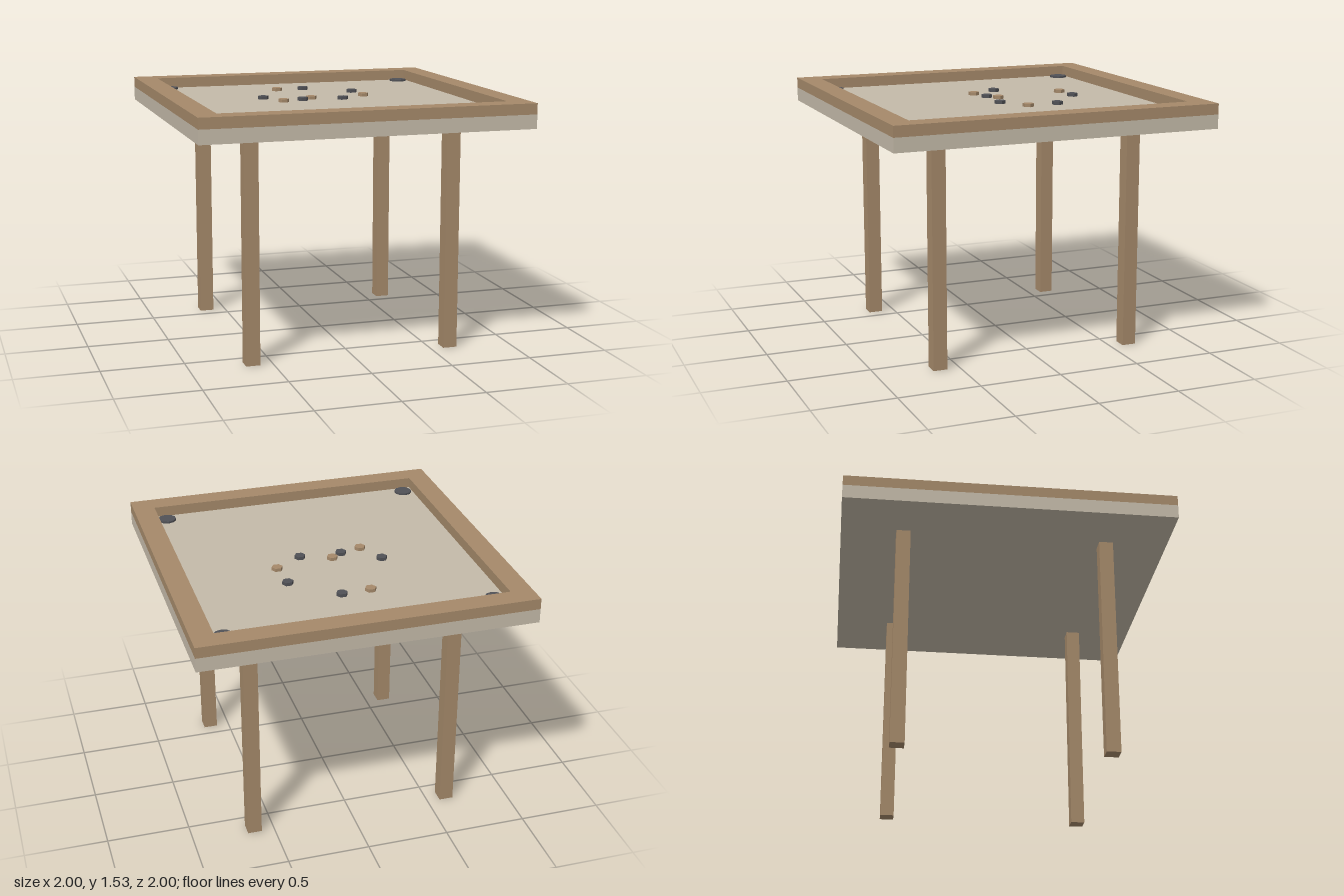
import * as THREE from 'three';

const mat = (name, color) => {
  const m = new THREE.MeshStandardMaterial({ color });
  m.name = name;
  return m;
};

export function createModel() {
  const table = new THREE.Group();
  table.name = 'gameTable';
  const wood = mat('wood', 0xa5896a);
  const surface = mat('playingSurface', 0xc4baa9);
  const dark = mat('dark', 0x505156);

  const add = (name, geometry, material, x, y, z) => {
    const mesh = new THREE.Mesh(geometry, material);
    mesh.name = name;
    mesh.position.set(x, y, z);
    table.add(mesh);
    return mesh;
  };

  const boardBottom = 1.385, boardTop = 1.47, frameTop = 1.535;

  // Playing board
  add('board', new THREE.BoxGeometry(2, boardTop - boardBottom, 2), surface,
    0, (boardTop + boardBottom) / 2, 0);

  // Raised square frame around the board
  const square = (path, s) => path.moveTo(-s, -s).lineTo(s, -s).lineTo(s, s).lineTo(-s, s).closePath();
  const outline = new THREE.Shape();
  square(outline, 1);
  const opening = new THREE.Path();
  square(opening, 0.867);
  outline.holes.push(opening);
  const frame = new THREE.ExtrudeGeometry(outline, { depth: frameTop - boardTop, bevelEnabled: false });
  frame.rotateX(-Math.PI / 2);
  add('frame', frame, wood, 0, boardTop, 0);

  // Legs and corner pockets
  const leg = new THREE.BoxGeometry(0.086, boardBottom, 0.086);
  const pocket = new THREE.CylinderGeometry(0.056, 0.056, 0.012, 10).toNonIndexed();
  pocket.computeVertexNormals();
  for (const sx of [-1, 1]) {
    for (const sz of [-1, 1]) {
      add('leg', leg, wood, sx * 0.622, boardBottom / 2, sz * 0.622);
      add('cornerPocket', pocket, dark, sx * 0.8, boardTop + 0.006, sz * 0.8);
    }
  }

  // Hexagonal playing pieces, one set per colour
  const piece = new THREE.CylinderGeometry(0.034, 0.034, 0.02, 6).toNonIndexed();
  piece.rotateY(Math.PI / 6);
  piece.computeVertexNormals();
  const place = (name, material, spots) =>
    spots.forEach(([x, z]) => add(name, piece, material, x, boardTop + 0.01, z));
  place('woodPiece', wood, [[-0.147, -0.505], [0.306, -0.09], [-0.053, -0.042], [-0.255, 0.043]]);
  place('darkPiece', dark, [[0.031, -0.515], [0.294, -0.289], [-0.34, -0.128], [-0.122, 0.008], [0.133, 0.024]]);

  return table;
}
